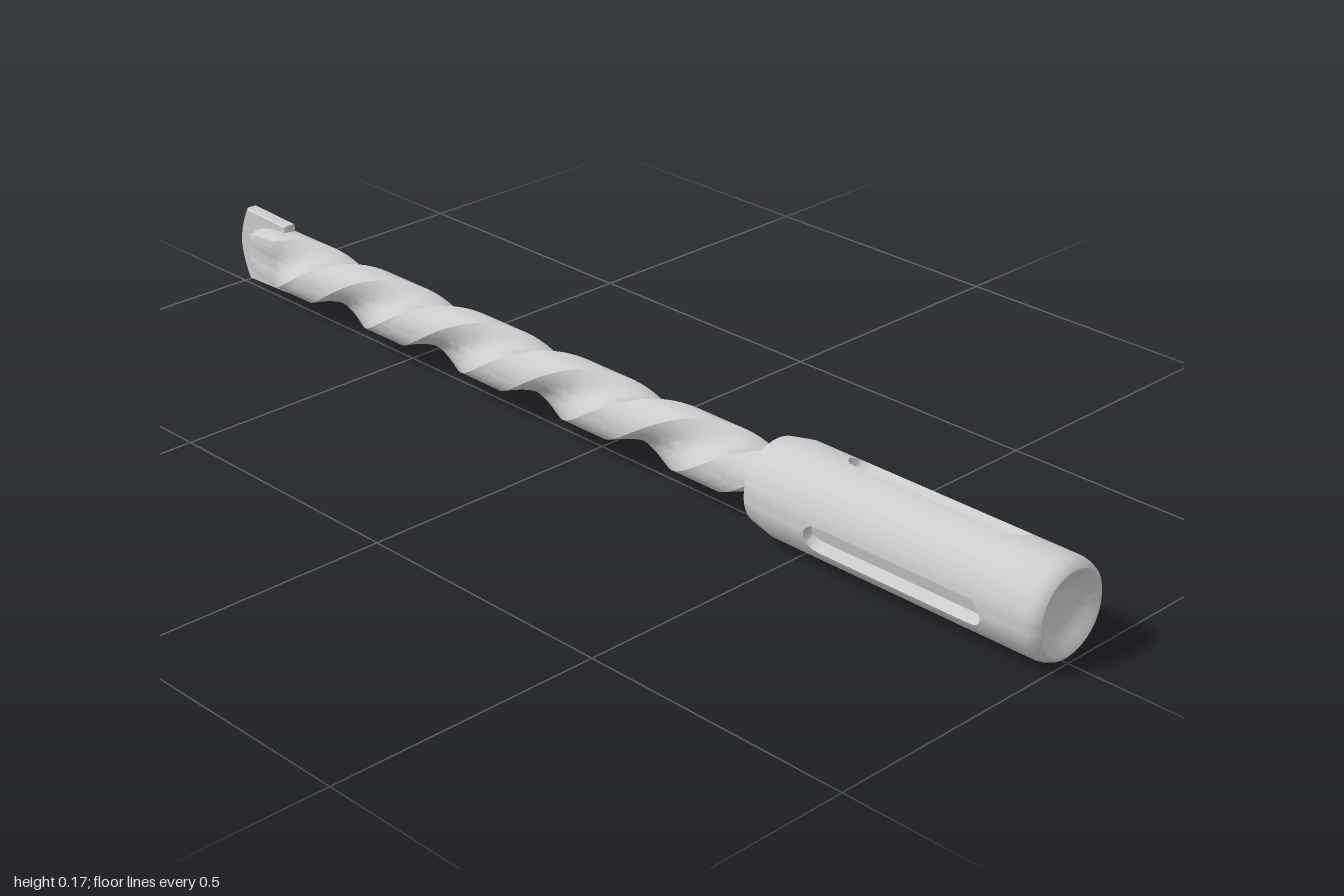
import * as THREE from 'three';
import { toCreasedNormals } from 'three/addons/utils/BufferGeometryUtils.js';

const CY = 0.085; // height of the tool's axis
const material = new THREE.MeshStandardMaterial({ color: 0xcccccc });

// Skin over a list of equal-length closed rings of [x, y, z], running along +z
function loft(rings, crease) {
  const n = rings[0].length, pos = rings.flat(2), index = [];
  for (let i = 0; i < rings.length - 1; i++) {
    for (let j = 0; j < n; j++) {
      const a = i * n + j, b = i * n + (j + 1) % n;
      index.push(a, b, a + n, b, b + n, a + n);
    }
  }
  const g = new THREE.BufferGeometry();
  g.setAttribute('position', new THREE.Float32BufferAttribute(pos, 3));
  g.setIndex(index);
  return toCreasedNormals(g, crease);
}

function part(name, geometry) {
  const mesh = new THREE.Mesh(geometry, material);
  mesh.name = name;
  return mesh;
}

// Shank ring: radius r, three slots of half angle w and floor radius f
function shankRing(z, r, w = 0, f = r) {
  const ring = [], ARC = 22, third = Math.PI * 2 / 3;
  const add = (a, d) => ring.push([Math.cos(a) * d, Math.sin(a) * d, z]);
  for (let k = 0; k < 3; k++) {
    const c = THREE.MathUtils.degToRad(72) + k * third;
    add(c - w, r);
    add(c - w * 0.8, f);
    add(c, f * Math.cos(w * 0.8));
    add(c + w * 0.8, f);
    for (let i = 0; i < ARC; i++) add(c + w + (third - 2 * w) * i / ARC, r);
  }
  return ring;
}

function shank() {
  const R = 0.085, z0 = 0.54, z1 = 0.895, e = 0.027, W = 0.3, F = 0.066, STEPS = 8;
  const rings = [[0.4, 0], [0.4, 0.07], [0.405, 0.076], [0.45, R], [z0, R]]
    .map(([z, r]) => shankRing(z, r));
  // Slots with round ends
  for (let i = 0; i <= STEPS; i++) {
    const a = i / STEPS * Math.PI / 2;
    rings.push(shankRing(z0 + e * (1 - Math.cos(a)), R, W * Math.sin(a), F));
  }
  for (let i = STEPS; i >= 0; i--) {
    const a = i / STEPS * Math.PI / 2;
    rings.push(shankRing(z1 - e * (1 - Math.cos(a)), R, W * Math.sin(a), F));
  }
  // Rounded rim and dished end
  const end = [[z1, R], [0.975, R], [0.986, 0.083], [0.995, 0.079], [1, 0.072],
    [0.998, 0.066], [0.991, 0.055], [0.984, 0.042], [0.98, 0.031], [0.98, 0.03], [0.98, 0]];
  for (const [z, r] of end) rings.push(shankRing(z, r));
  return loft(rings, 0.6);
}

// Two-lobed twisted body with a rounded nose
function flutes() {
  const N = 36, rings = [], PITCH = 0.53, NOSE = -0.86, LEN = 0.105;
  const ring = (z, s) => {
    const turn = Math.PI / 2 - Math.PI * 2 * (Math.max(z, NOSE) - 0.2) / PITCH;
    const pts = [];
    for (let j = 0; j < N * 2; j++) {
      const u = (j % N) / N - 0.5;
      const t = Math.min(1, (0.5 - Math.abs(u)) / 0.3);
      const r = (0.031 + 0.025 * t * t) * s;
      const a = turn + (Math.floor(j / N) + u) * Math.PI;
      pts.push([Math.cos(a) * r, Math.sin(a) * r, z]);
    }
    return pts;
  };
  for (let i = 0; i <= 10; i++) {
    const a = i / 10 * Math.PI / 2;
    rings.push(ring(NOSE - LEN * Math.cos(a), Math.pow(Math.sin(a), 0.7)));
  }
  const STEPS = 160;
  for (let i = 1; i <= STEPS; i++) rings.push(ring(NOSE + (0.42 - NOSE) * i / STEPS, 1));
  return loft(rings, 0.5);
}

// Flat cutting plate set across the nose, drawn as (distance to tip, height)
function cuttingPlate() {
  const s = new THREE.Shape();
  s.moveTo(0.862, -0.066);
  s.lineTo(0.975, -0.07);
  s.quadraticCurveTo(0.994, -0.035, 0.997, 0);
  s.quadraticCurveTo(0.994, 0.035, 0.975, 0.07);
  s.lineTo(0.862, 0.066);
  s.closePath();
  const g = new THREE.ExtrudeGeometry(s, {
    depth: 0.018, bevelEnabled: true, bevelThickness: 0.004, bevelSize: 0.003,
    bevelSegments: 1, curveSegments: 10,
  });
  g.translate(0, 0, -0.009);
  g.rotateY(Math.PI / 2);
  return g.translate(0.008, 0, 0);
}

export function createModel() {
  const model = new THREE.Group();
  model.name = 'drillBit';
  const body = new THREE.Group();
  body.name = 'body';
  body.position.y = CY;
  body.add(part('shank', shank()), part('twistedFlutes', flutes()), part('cuttingPlate', cuttingPlate()));
  model.add(body);
  return model;
}
